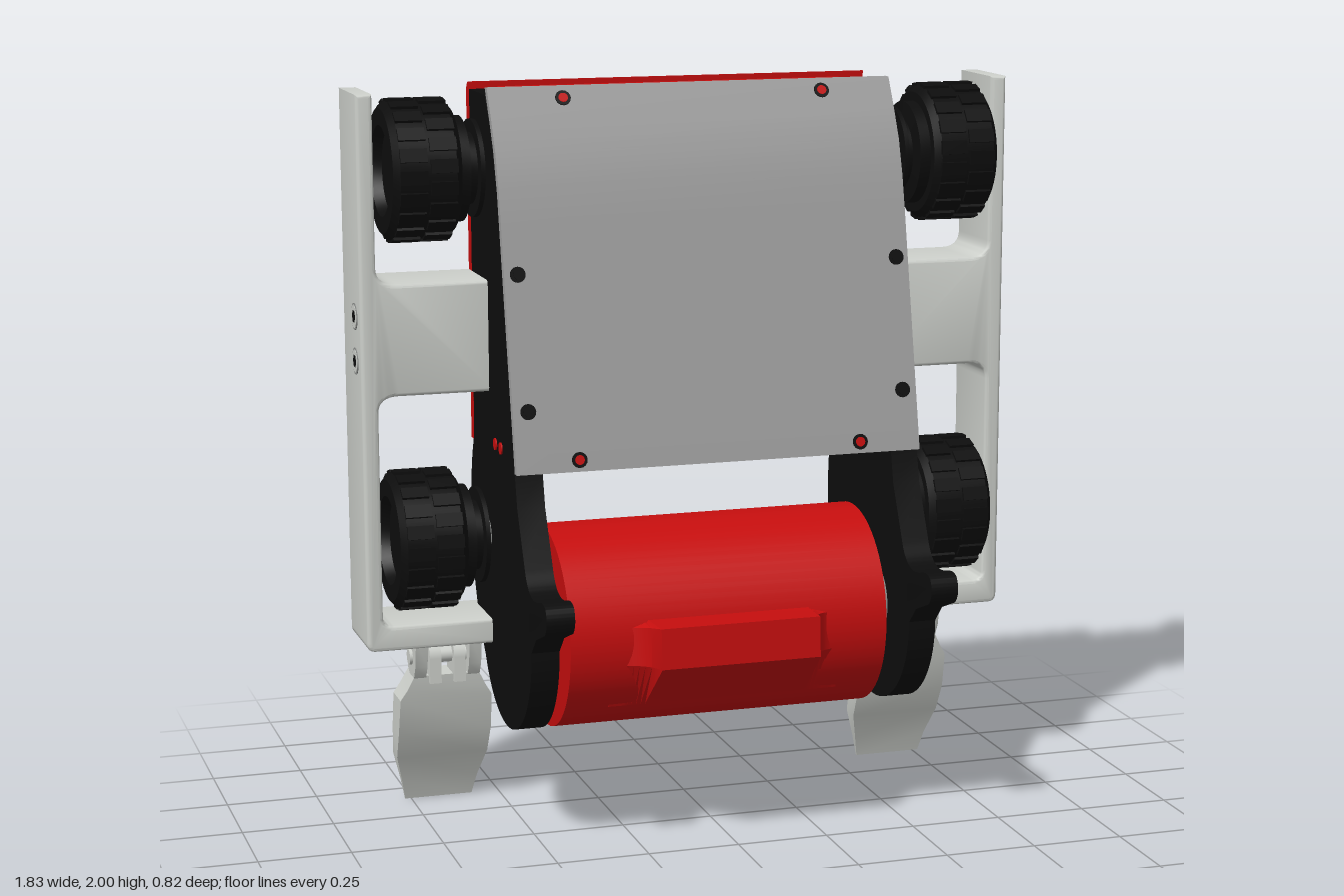
import * as THREE from 'three';
import { toCreasedNormals } from 'three/addons/utils/BufferGeometryUtils.js';

export function createModel() {
  const model = new THREE.Group();
  model.name = 'spinnerRobot';
  const mat = (name, color) => Object.assign(new THREE.MeshStandardMaterial({ color }), { name });
  const black = mat('black', 0x0d0d0d), red = mat('red', 0xc60e0e), light = mat('lightGrey', 0xcdd0cb);
  const panelGrey = mat('panelGrey', 0x9f9f9f), steel = mat('steel', 0x8c8e8c);

  const add = (name, geo, material) => {
    const mesh = new THREE.Mesh(geo, material);
    mesh.name = name;
    model.add(mesh);
  };
  // Copy of a geometry reflected in x, with the face order corrected
  const mirrorX = (geo) => {
    const g = geo.index ? geo.toNonIndexed() : geo.clone();
    g.scale(-1, 1, 1);
    for (const a of Object.values(g.attributes)) {
      const n = a.itemSize, arr = a.array;
      for (let i = 0; i < a.count; i += 3)
        for (let k = 0; k < n; k++) {
          const p = (i + 1) * n + k, q = (i + 2) * n + k, t = arr[p];
          arr[p] = arr[q];
          arr[q] = t;
        }
    }
    return g;
  };
  const addPair = (name, geo, material) => {
    add(name + 'Left', geo, material);
    add(name + 'Right', mirrorX(geo), material);
  };
  const box = (x0, x1, y0, y1, z0, z1) =>
    new THREE.BoxGeometry(x1 - x0, y1 - y0, z1 - z0).translate((x0 + x1) / 2, (y0 + y1) / 2, (z0 + z1) / 2);
  const rodX = (r, x0, x1, y, z, n = 24) =>
    new THREE.CylinderGeometry(r, r, x1 - x0, n).rotateZ(-Math.PI / 2).translate((x0 + x1) / 2, y, z);
  // Side profile in (z, y), extruded from x0 to x1
  const sideExtrude = (shape, x0, x1) => toCreasedNormals(
    new THREE.ExtrudeGeometry(shape, { depth: x1 - x0, bevelEnabled: false, curveSegments: 24 })
      .rotateY(-Math.PI / 2).translate(x1, 0, 0), 0.5);
  const poly = (pts) => new THREE.Shape(pts.map(([a, b]) => new THREE.Vector2(a, b)));
  // Skin through matching cross-sections, closed at both ends
  const loft = (sections) => {
    const pos = [], tri = (...v) => v.forEach((p) => pos.push(...p));
    const n = sections[0].length, last = sections[sections.length - 1];
    for (let i = 0; i < sections.length - 1; i++)
      for (let j = 0; j < n; j++) {
        const k = (j + 1) % n, s = sections[i], t = sections[i + 1];
        tri(s[j], s[k], t[k]);
        tri(s[j], t[k], t[j]);
      }
    for (let j = 1; j < n - 1; j++) {
      tri(sections[0][0], sections[0][j + 1], sections[0][j]);
      tri(last[0], last[j], last[j + 1]);
    }
    const g = new THREE.BufferGeometry();
    g.setAttribute('position', new THREE.Float32BufferAttribute(pos, 3));
    return toCreasedNormals(g, 0.4);
  };

  // Black side plates with a round drum end and a looped nose hook
  const DY = 0.577, DZ = -0.02, R = 0.272;
  const plate = new THREE.Shape();
  plate.moveTo(-0.255, 0.44);
  plate.absarc(DZ, DY, R, Math.PI * 7 / 6, Math.PI * 2, false);
  plate.lineTo(0.30, 0.625);
  plate.lineTo(0.39, 0.66);
  plate.quadraticCurveTo(0.425, 0.69, 0.40, 0.73);
  plate.quadraticCurveTo(0.38, 0.745, 0.34, 0.735);
  plate.quadraticCurveTo(0.23, 0.70, 0.19, 0.79);
  plate.lineTo(0.12, 0.93);
  plate.lineTo(0.098, 1.02);
  plate.lineTo(-0.055, 1.74);
  plate.lineTo(-0.105, 1.88);
  plate.lineTo(-0.17, 1.98);
  plate.lineTo(-0.36, 1.98);
  plate.lineTo(-0.36, 1.02);
  plate.quadraticCurveTo(-0.40, 0.95, -0.40, 0.80);
  plate.quadraticCurveTo(-0.40, 0.60, -0.255, 0.44);
  plate.holes.push(new THREE.Path([[0.375, 0.70], [0.30, 0.655], [0.235, 0.63], [0.235, 0.68], [0.28, 0.69]]
    .map(([a, b]) => new THREE.Vector2(a, b))));
  add('sidePlateLeft', sideExtrude(plate, 0.48, 0.555), black);
  add('sidePlateRight', sideExtrude(plate, -0.565, -0.49), black);

  // Red body, rounded back cover and grey front cover
  add('body', sideExtrude(poly([[-0.36, 1.04], [0.09, 1.04], [-0.06, 1.74], [-0.11, 1.88], [-0.18, 1.985], [-0.36, 1.985]]), -0.49, 0.48), red);
  const back = new THREE.Shape();
  back.moveTo(-0.385, 1.025);
  back.lineTo(-0.35, 1.025);
  back.lineTo(-0.35, 2.0);
  back.quadraticCurveTo(-0.385, 2.0, -0.385, 1.965);
  add('backCover', sideExtrude(back, -0.565, 0.555), red);
  const outer = [[0.12, 1.02], [-0.015, 1.66], [-0.036, 1.75], [-0.065, 1.84], [-0.105, 1.92], [-0.15, 2.0]];
  const inner = outer.map(([z, y]) => [z - 0.023, y]).reverse();
  add('frontCover', sideExtrude(poly([...outer, ...inner]), -0.565, 0.555), panelGrey);

  // Cover screws
  const coverZ = (y) => {
    const i = Math.max(1, outer.findIndex((p) => p[1] >= y));
    const [z0, y0] = outer[i - 1], [z1, y1] = outer[i];
    return [z0 + (z1 - z0) * (y - y0) / (y1 - y0), Math.atan2(z0 - z1, y1 - y0)];
  };
  const screw = (x, y, r, h, m) => {
    const [z, tilt] = coverZ(y);
    add('coverScrew', new THREE.CylinderGeometry(r, r, h, 16).rotateX(Math.PI / 2 - tilt).translate(x, y, z), m);
  };
  for (const [x, y, m] of [[0.36, 1.97, red], [0.39, 1.05, red], [0.525, 1.53, black], [0.52, 1.18, black]])
    for (const s of [1, -1]) {
      screw(s * x - 0.004, y, 0.021, 0.006, black);
      screw(s * x - 0.004, y, 0.013, 0.009, m);
    }
  for (const y of [1.08, 1.45, 1.81])
    for (const x of [-0.53, 0.52])
      add('backScrew', new THREE.CylinderGeometry(0.013, 0.013, 0.006, 14).rotateX(Math.PI / 2).translate(x, y, -0.385), black);
  for (const z of [-0.045, -0.105])
    for (const x of [-0.565, 0.555]) add('sideBolt', rodX(0.016, x - 0.004, x + 0.004, 1.06, z), red);

  // Drum, its axle and the bolt heads on the plate
  add('drum', rodX(R, -0.46, 0.415, DY, DZ, 64), red);
  add('drumAxle', rodX(0.045, -0.49, 0.48, DY, DZ), steel);
  add('drumHub', rodX(0.108, 0.445, 0.485, DY, DZ, 32), steel);
  add('drumBearing', rodX(0.1, -0.49, -0.475, DY, DZ, 32), black);
  add('drumBolt', rodX(0.03, 0.55, 0.558, 0.575, -0.02), steel);
  for (const y of [0.51, 0.65])
    for (const z of [-0.09, 0.05]) add('drumBolt', rodX(0.02, 0.55, 0.558, y, z), steel);

  // Drum teeth: one in front, two behind, each with scooped flanks
  const toothSection = (x, h, rear) =>
    [[0.5, 0.1], [0.64, 0.19], [0.62 + 0.018 * h, 0.235 + 0.105 * h], [0.52 + 0.01 * h, 0.24 + 0.107 * h], [0.395, 0.185]]
      .map(([y, z]) => rear ? [x, 2 * DY - y, 2 * DZ - z - 0.012 * h] : [x, y, z]);
  const tooth = (name, x0, x1, scoop0, scoop1, rear) => {
    const s = [], h = (t) => 1 - Math.sqrt(1 - t * t);
    for (let i = scoop0 ? 0 : 8; i <= 8; i++) s.push(toothSection(x0 - 0.1 * (1 - i / 8), h(i / 8), rear));
    for (let i = 8; i >= (scoop1 ? 0 : 8); i--) s.push(toothSection(x1 + 0.1 * (1 - i / 8), h(i / 8), rear));
    add(name, loft(s), red);
  };
  tooth('frontTooth', -0.24, 0.195, true, true, false);
  tooth('rearToothRight', -0.46, -0.24, false, true, true);
  tooth('rearToothLeft', 0.195, 0.415, true, false, true);

  // Outrigger rails with a middle and a bottom arm
  const rail = new THREE.Shape();
  rail.moveTo(0.55, 0.495);
  rail.lineTo(0.885, 0.495);
  rail.quadraticCurveTo(0.91, 0.495, 0.91, 0.52);
  rail.lineTo(0.91, 1.99);
  rail.lineTo(0.865, 1.99);
  rail.lineTo(0.865, 1.535);
  rail.quadraticCurveTo(0.865, 1.49, 0.81, 1.49);
  rail.lineTo(0.55, 1.49);
  rail.lineTo(0.55, 1.19);
  rail.lineTo(0.81, 1.19);
  rail.quadraticCurveTo(0.865, 1.19, 0.865, 1.145);
  rail.lineTo(0.865, 0.59);
  rail.quadraticCurveTo(0.865, 0.563, 0.835, 0.563);
  rail.lineTo(0.55, 0.563);
  const b = 0.01;
  addPair('outrigger', toCreasedNormals(new THREE.ExtrudeGeometry(rail, {
    depth: 0.225 - 2 * b, bevelThickness: b, bevelSize: b, bevelOffset: -b, bevelSegments: 3, curveSegments: 8,
  }).translate(0, 0, -0.395 + b), 0.6), light);
  for (const y of [1.28, 1.40]) {
    addPair('railBoltRim', rodX(0.036, 0.905, 0.912, y, -0.24), steel);
    addPair('railBoltSeat', rodX(0.031, 0.906, 0.913, y, -0.24), light);
    addPair('railBoltSocket', rodX(0.018, 0.907, 0.914, y, -0.24, 6), black);
  }

  // Wheels: stepped hub, tyre and staggered tread blocks
  const wheelProfile = [[0, 0.585], [0.13, 0.585], [0.13, 0.597], [0.095, 0.597], [0.095, 0.62], [0.14, 0.625],
    [0.14, 0.655], [0.165, 0.655], [0.183, 0.672], [0.183, 0.822], [0.165, 0.838], [0.12, 0.838], [0.11, 0.81], [0, 0.81]]
    .map(([r, x]) => new THREE.Vector2(r, x));
  for (const [place, y] of [['upper', 1.785], ['lower', 0.79]]) {
    const z = -0.22;
    addPair(place + 'Wheel', toCreasedNormals(new THREE.LatheGeometry(wheelProfile, 40)
      .rotateZ(-Math.PI / 2).translate(0, y, z), 0.5), black);
    addPair(place + 'Axle', rodX(place === 'lower' ? 0.055 : 0.025, 0.54, 0.60, y, z), steel);
    for (let i = 0; i < 40; i++) {
      const x = i % 2 ? 0.67 : 0.75;
      addPair(place + 'Tread', box(x, x + 0.072, 0.175, 0.189, -0.018, 0.018)
        .rotateX(i * Math.PI / 20).translate(0, y, z), black);
    }
  }

  // Hinged wedge feet: rows of height, half width, back z, front z
  const footRows = [[0, 0.095, -0.41, -0.405], [0.06, 0.107, -0.408, -0.385], [0.14, 0.128, -0.398, -0.345],
    [0.22, 0.13, -0.388, -0.305], [0.32, 0.128, -0.376, -0.282], [0.35, 0.11, -0.37, -0.275], [0.39, 0.09, -0.36, -0.27]];
  const cx = 0.672;
  addPair('wedgeFoot', loft(footRows.map(([y, w, zb, zf]) =>
    [[cx - w, y, zb], [cx - w, y, zf], [cx + w, y, zf], [cx + w, y, zb]])), light);
  addPair('hingePin', rodX(0.022, cx - 0.1, cx + 0.1, 0.44, -0.3), light);
  for (const dx of [-0.075, 0.075])
    addPair('upperLug', sideExtrude(poly([[-0.365, 0.5], [-0.345, 0.40], [-0.31, 0.375], [-0.27, 0.385], [-0.25, 0.42], [-0.235, 0.5]]),
      cx + dx - 0.017, cx + dx + 0.017), light);
  for (const dx of [-0.034, 0.034]) {
    addPair('lowerLug', box(cx + dx - 0.016, cx + dx + 0.016, 0.37, 0.44, -0.345, -0.255), light);
    addPair('lowerKnuckle', rodX(0.045, cx + dx - 0.016, cx + dx + 0.016, 0.44, -0.3), light);
  }
  return model;
}
